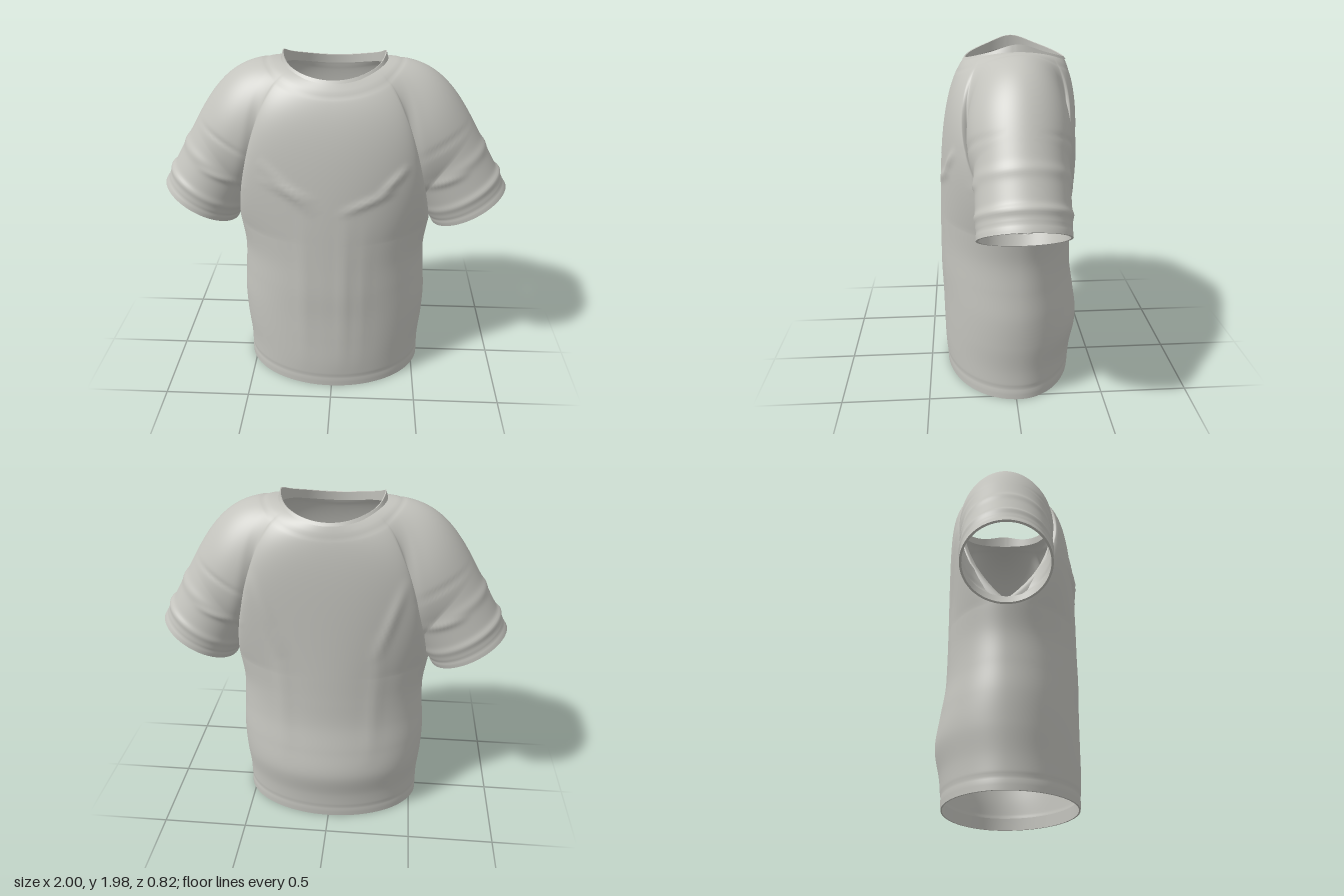
import * as THREE from 'three';
import { mergeGeometries, mergeVertices, toCreasedNormals } from 'three/addons/utils/BufferGeometryUtils.js';

const V = (x, y, z) => new THREE.Vector3(x, y, z);
const gauss = (x, w) => Math.exp(-(x * x) / (w * w));
const mirrorRow = row => row.map(p => V(-p.x, p.y, p.z)).reverse();
const range = (n, f) => Array.from({ length: n + 1 }, (_, i) => f(i / n));

// Surface through rows of points; rows run outward/down, columns front -> left -> back.
function loft(rows) {
  const n = rows[0].length, pos = [], index = [];
  rows.forEach(r => r.forEach(p => pos.push(p.x, p.y, p.z)));
  for (let i = 0; i < rows.length - 1; i++) {
    for (let j = 0; j < n - 1; j++) {
      const a = i * n + j, b = a + 1, c = a + n, d = c + 1;
      index.push(a, c, b, b, c, d);
    }
  }
  const g = new THREE.BufferGeometry();
  g.setAttribute('position', new THREE.Float32BufferAttribute(pos, 3));
  g.setIndex(index);
  return g;
}

// Sleeve: a slanted tube measured by distance t back from the cuff
const MID_Z = -0.015;
const D = V(0.497, -0.868, 0), E = V(0.868, 0.497, 0), CUFF = V(0.79, 1.09, MID_Z);
const sleeveRadius = (t, phi) => {
  const outer = 0.3 + 0.7 * Math.sin(phi / 2) ** 2;
  return 0.24 + outer * (0.012 * gauss(t - 0.11, 0.022) + 0.007 * gauss(t - 0.3, 0.03))
    - 0.003 * gauss(t - 0.04, 0.01);
};
function sleevePoint(phi, t, inset = 0) {
  const r = sleeveRadius(t, phi) - inset;
  const p = CUFF.clone().addScaledVector(D, -t).addScaledVector(E, -Math.cos(phi) * r);
  p.z += r * Math.sin(phi);
  return p;
}
const armholeT = phi => 0.036 + 0.404 * Math.pow(Math.max(0, Math.sin(phi / 2)), 0.7);
const ARMPIT = sleevePoint(0, armholeT(0));

// Torso profile: half width, front depth, back depth at even heights from hem to armpit
const profile = new THREE.CatmullRomCurve3([
  V(0.54, 0.395, 0.36), V(0.54, 0.405, 0.375), V(0.555, 0.405, 0.405), V(0.56, 0.405, 0.385),
  V(0.548, 0.41, 0.36), V(0.542, 0.41, 0.355), V(ARMPIT.x, 0.41, 0.355)], false, 'catmullrom', 0.5);

function torsoPoint(beta, y, scale = 1) {
  const p = profile.getPoint(y / ARMPIT.y);
  const k = scale * (1 - 0.008 * gauss(y - 0.065, 0.012)); // hem stitching groove
  const c = Math.cos(beta);
  const depth = c > 0 ? p.y - MID_Z : p.z + MID_Z;
  return V(p.x * k * Math.sin(beta), y, MID_Z + depth * k * c);
}

// Neckline ring, angle 0 at the front
const neckPoint = (a, k = 1, dy = 0) => {
  const s = Math.sin(a);
  return V(0.285 * k * s, 1.875 + 0.062 * s * s + dy, -0.022 + 0.28 * k * Math.cos(a));
};

// Yoke rail: curve from the neckline to the torso or armhole edge
function yokeRail(alpha, end, pull) {
  const s = Math.sin(alpha), c = Math.cos(alpha), start = neckPoint(alpha);
  const zOut = (c > 0 ? 0.11 : 0.065) * c + 0.045 * Math.sign(c) * Math.sin(2 * alpha) ** 2;
  const p1 = start.clone().add(V(0.24 * s, 0.01 * s - 0.15 * c * c, zOut));
  return new THREE.CubicBezierCurve3(start, p1, end.clone().add(pull), end);
}
function yokeRails() {
  const rails = [], N = 26, M = 72, A = THREE.MathUtils.degToRad(50);
  const armpitPull = sign => V(-0.07, 0.38, sign > 0 ? 0.43 : -0.37);
  const shoulderPull = D.clone().multiplyScalar(-0.27);
  const torsoRail = (beta, sign) => {
    const u = sign > 0 ? beta / (Math.PI / 2) : (Math.PI - beta) / (Math.PI / 2);
    const alpha = sign > 0 ? u * A : Math.PI - u * A;
    return yokeRail(alpha, torsoPoint(beta, ARMPIT.y), V(0, 0.45, 0).lerp(armpitPull(sign), u * u));
  };
  for (let i = 0; i < N; i++) rails.push(torsoRail(i / N * Math.PI / 2, 1));
  for (let i = 0; i <= M; i++) {
    const u = i / M, phi = u * Math.PI * 2;
    const blend = Math.pow(Math.max(0, Math.sin(phi / 2)), 0.6);
    const pull = armpitPull(u < 0.5 ? 1 : -1).lerp(shoulderPull, blend);
    rails.push(yokeRail(A + u * (Math.PI - 2 * A), sleevePoint(phi, armholeT(phi)), pull));
  }
  for (let i = 1; i <= N; i++) rails.push(torsoRail((1 + i / N) * Math.PI / 2, -1));
  return rails;
}

// Cloth creases: x1, y1, x2, y2, width, height, side (1 front, -1 back)
const creases = [
  [-0.4, 1.47, -0.08, 1.18, 0.022, 0.014, 1], [-0.4, 1.37, -0.08, 1.25, 0.02, 0.01, 1],
  [0.42, 1.45, 0.25, 1.28, 0.022, 0.014, 1], [0.36, 1.32, 0.04, 1.19, 0.022, 0.012, 1],
  [0.08, 1.25, 0.07, 0.1, 0.035, 0.009, 1], [0.18, 1.15, 0.17, 0.1, 0.03, 0.006, 1],
  [-0.16, 1.2, -0.16, 0.1, 0.035, 0.007, 1]];
// Creases shared by both sides of the body
for (const x of [1, -1]) {
  creases.push([0.42 * x, 1.6, 0.26 * x, 1.1, 0.03, 0.012, -1], [0.28 * x, 1.3, 0.25 * x, 0.4, 0.04, 0.008, -1]);
  for (const z of [1, -1]) {
    creases.push([0.48 * x, 1.25, 0.76 * x, 1.37, 0.02, 0.01, z], [0.44 * x, 1.44, 0.78 * x, 1.63, 0.014, -0.006, z]);
  }
}
function addCreases(g) {
  const p = g.attributes.position, q = V(0, 0, 0), near = V(0, 0, 0);
  const lines = creases.map(c => new THREE.Line3(V(c[0], c[1], 0), V(c[2], c[3], 0)));
  for (let i = 0; i < p.count; i++) {
    const z = p.getZ(i);
    let dz = 0;
    q.set(p.getX(i), p.getY(i), 0);
    creases.forEach(([, , , , w, h, side], k) => {
      if (z * side < 0.08) return;
      const t = lines[k].closestPointToPointParameter(q, true);
      lines[k].at(t, near);
      dz += side * h * Math.sin(Math.PI * t) * gauss(near.distanceTo(q), w);
    });
    p.setZ(i, z + dz);
  }
}

export function createModel() {
  const cloth = new THREE.MeshStandardMaterial({ color: 0xc3c3bd, side: THREE.DoubleSide });
  cloth.name = 'cloth';
  const group = new THREE.Group();
  group.name = 'shirt';
  const add = (name, geometry) => {
    const m = new THREE.Mesh(geometry, cloth);
    m.name = name;
    group.add(m);
  };
  const fullRow = half => [...half, ...mirrorRow(half).slice(1)];

  // Yoke, torso and sleeves joined as one smooth cloth
  const rails = yokeRails();
  const yoke = range(52, t => fullRow(rails.map(r => {
    const p = r.getPoint(t);
    p.y -= 0.004 * gauss(t - 0.13, 0.02); // collar seam
    return p;
  })));
  const torsoRow = (y, scale) => fullRow(range(52, u => torsoPoint(u * Math.PI, y, scale)));
  const torso = range(72, t => torsoRow(ARMPIT.y * (1 - t), 1));
  const sleeve = range(40, t => range(72, u => {
    const phi = u * Math.PI * 2;
    return sleevePoint(phi, armholeT(phi) * (1 - t));
  }));
  const body = mergeVertices(mergeGeometries(
    [yoke, torso, sleeve, sleeve.map(mirrorRow)].map(loft)), 1e-4);
  addCreases(body);
  body.computeVertexNormals();
  add('bodyAndSleeves', body);

  // Turned-in edges
  const trim = (name, rows) => add(name, toCreasedNormals(mergeVertices(loft(rows), 1e-5), 0.8));
  trim('hem', [torsoRow(0, 1), torsoRow(0, 0.978), torsoRow(0.07, 0.978)]);
  const cuffRow = (t, inset) => range(72, u => sleevePoint(u * Math.PI * 2, t, inset));
  const cuff = [cuffRow(0, 0), cuffRow(0, 0.012), cuffRow(0.06, 0.012)];
  trim('leftCuff', cuff);
  trim('rightCuff', cuff.map(mirrorRow));

  // Neckband with a small pinch on each shoulder
  const neckRow = (k, dy, pinch) => range(120, u => {
    const a = u * Math.PI * 2;
    return neckPoint(a, k, dy + pinch * Math.pow(Math.abs(Math.sin(a)), 14));
  });
  trim('neckband', [neckRow(0.98, -0.04, 0), neckRow(0.97, 0.008, 0.028),
    neckRow(0.99, 0.01, 0.028), neckRow(1.03, -0.006, 0)]);
  return group;
}
